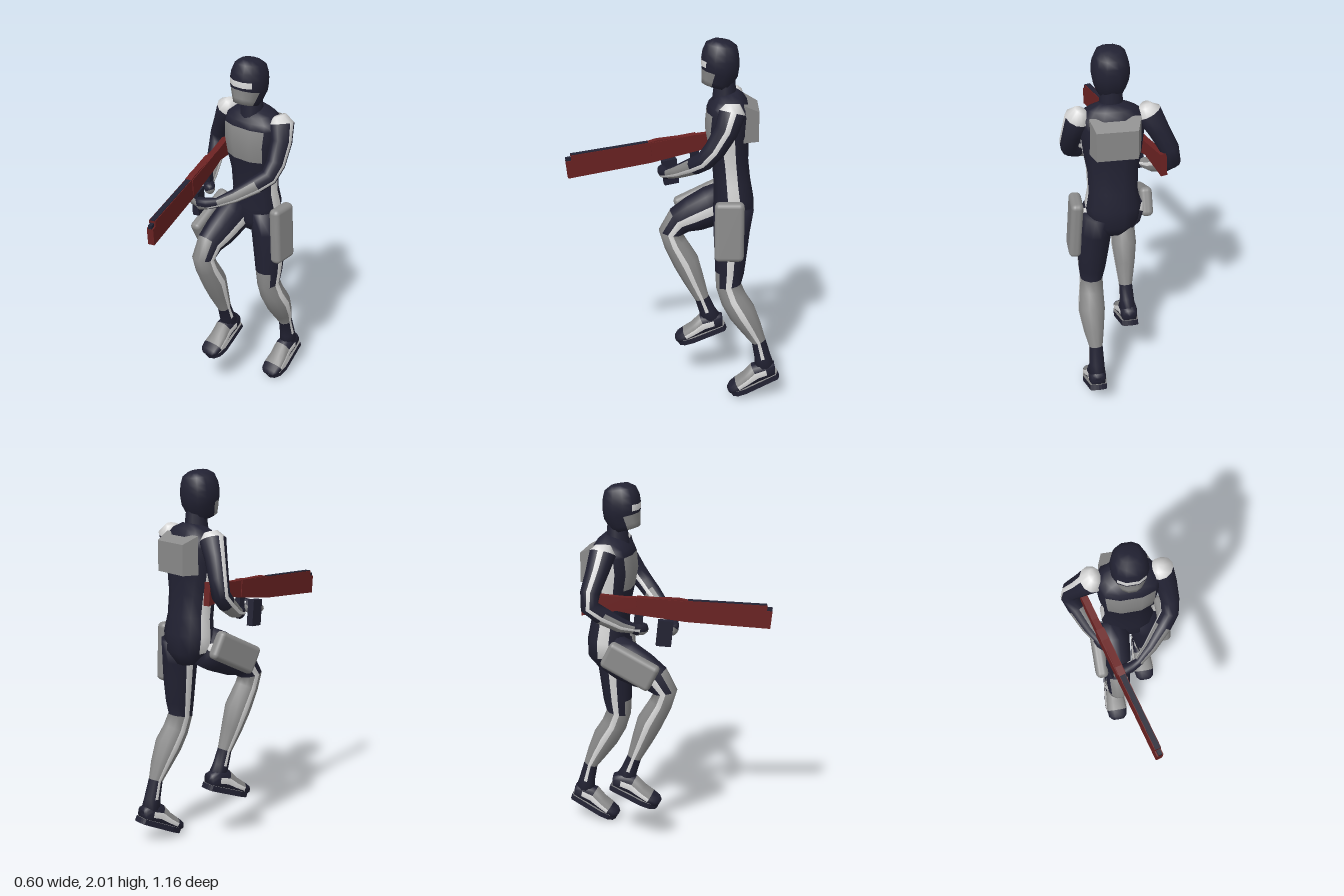
import * as THREE from 'three';
import { RoundedBoxGeometry } from 'three/addons/geometries/RoundedBoxGeometry.js';

const mat = (name, color) => {
  const m = new THREE.MeshStandardMaterial({ color });
  m.name = name;
  return m;
};

// Ring of 12 points; the faces at +u (11) and -u (5) are the narrow side stripes
const ANGLES = [];
for (let h = 0; h < 2; h++)
  for (let k = 0; k < 6; k++) ANGLES.push(h * Math.PI + 0.22 + k * (Math.PI - 0.44) / 5);
const N = ANGLES.length;
const isSide = f => f === 5 || f === 11;
const isFront = f => f >= 0 && f <= 4;

// Skin rings [x, y, z, halfWidth, halfDepth] along their path;
// paint(row, face) picks the material index; power < 1 gives boxier rings
function loft(rings, paint, power = 1) {
  const pos = [], byMat = [[], [], [], []];
  const c = rings.map(r => new THREE.Vector3(r[0], r[1], r[2]));
  const bend = v => Math.sign(v) * Math.abs(v) ** power;
  rings.forEach((r, i) => {
    const t = c[Math.min(i + 1, c.length - 1)].clone().sub(c[Math.max(i - 1, 0)]).normalize();
    const u = new THREE.Vector3(1, 0, 0);
    u.addScaledVector(t, -u.dot(t)).normalize();
    const v = new THREE.Vector3().crossVectors(t, u);
    for (const a of ANGLES) {
      const p = c[i].clone().addScaledVector(u, r[3] * bend(Math.cos(a)))
        .addScaledVector(v, r[4] * bend(Math.sin(a)));
      pos.push(p.x, p.y, p.z);
    }
  });
  const last = rings.length - 1, top = pos.length / 3;
  for (const p of [c[0], c[last]]) pos.push(p.x, p.y, p.z);
  for (let f = 0; f < N; f++) {
    const g = (f + 1) % N;
    for (let i = 0; i < last; i++) {
      const a = i * N + f, b = i * N + g;
      byMat[paint(i, f)].push(a, b, a + N, b, b + N, a + N);
    }
    byMat[paint(0, f)].push(top, g, f);
    byMat[paint(last - 1, f)].push(top + 1, last * N + f, last * N + g);
  }
  const geo = new THREE.BufferGeometry();
  geo.setAttribute('position', new THREE.Float32BufferAttribute(pos, 3));
  geo.setIndex(byMat.flat());
  let start = 0;
  byMat.forEach((list, m) => {
    if (list.length) geo.addGroup(start, list.length, m);
    start += list.length;
  });
  geo.computeVertexNormals();
  return geo;
}

export function createModel() {
  const model = new THREE.Group();
  const navy = mat('navy', 0x222233), grey = mat('grey', 0x8a8a8a);
  const white = mat('white', 0xdcdcdc), red = mat('red', 0x6b2222);
  const suit = [navy, grey, white, red];
  const NAVY = 0, GREY = 1, WHITE = 2;
  const add = (parent, name, geo, m, x = 0, y = 0, z = 0) => {
    const mesh = new THREE.Mesh(geo, m);
    mesh.name = name;
    mesh.position.set(x, y, z);
    parent.add(mesh);
    return mesh;
  };

  // Head with visor slit and grey jaw mask
  add(model, 'head', loft([
    [0.045, 2.0, -0.24, 0.05, 0.05], [0.045, 1.98, -0.237, 0.076, 0.082],
    [0.045, 1.94, -0.232, 0.09, 0.096], [0.045, 1.905, -0.23, 0.095, 0.1],
    [0.045, 1.872, -0.23, 0.095, 0.1], [0.045, 1.84, -0.228, 0.09, 0.097],
    [0.045, 1.79, -0.212, 0.072, 0.083], [0.045, 1.765, -0.205, 0.06, 0.075],
  ], (i, f) => i === 3 && f > 0 && f < 4 ? WHITE : i >= 5 && isFront(f) ? GREY : NAVY, 0.85), suit);
  add(model, 'neck', new THREE.CylinderGeometry(0.053, 0.066, 0.12, 12), navy, 0.045, 1.74, -0.255);

  // Torso with chest panel and side stripes
  add(model, 'torso', loft([
    [0.045, 1.73, -0.27, 0.06, 0.055], [0.045, 1.705, -0.275, 0.12, 0.08],
    [0.045, 1.67, -0.278, 0.16, 0.105], [0.045, 1.63, -0.275, 0.167, 0.115],
    [0.045, 1.55, -0.27, 0.16, 0.118], [0.045, 1.46, -0.278, 0.15, 0.108],
    [0.045, 1.37, -0.288, 0.133, 0.098], [0.045, 1.25, -0.3, 0.128, 0.1],
    [0.045, 1.16, -0.31, 0.145, 0.108], [0.045, 1.07, -0.31, 0.13, 0.11],
    [0.045, 1.0, -0.305, 0.06, 0.07],
  ], (i, f) => (i === 3 || i === 4) && f > 0 && f < 4 ? GREY
    : i >= 2 && i < 9 && isSide(f) ? WHITE : NAVY, 0.8), suit);

  // Back pack, narrower on its rear face
  const pack = new THREE.BoxGeometry(0.26, 0.2, 0.08);
  const pp = pack.attributes.position;
  for (let i = 0; i < pp.count; i++)
    if (pp.getZ(i) < 0) pp.setXY(i, pp.getX(i) * 0.8, pp.getY(i) > 0 ? 0.06 : -0.1);
  pack.computeVertexNormals();
  add(model, 'backPack', pack, grey, 0.038, 1.59, -0.392);

  // Arms: white shoulder cap, striped sleeve, grey forearm, dark glove
  const armPaint = (i, f) => i === 0 ? WHITE : i > 7 ? (f > 5 ? GREY : NAVY)
    : isSide(f) ? WHITE : i >= 5 && i < 7 && !(f > 1 && f < 4) ? GREY : NAVY;
  add(model, 'leftArm', loft([
    [0.2, 1.71, -0.29, 0.03, 0.04], [0.215, 1.67, -0.29, 0.066, 0.07],
    [0.238, 1.58, -0.26, 0.056, 0.062], [0.25, 1.48, -0.2, 0.05, 0.056],
    [0.243, 1.42, -0.15, 0.047, 0.05], [0.2, 1.38, -0.1, 0.045, 0.048],
    [0.12, 1.32, -0.02, 0.035, 0.038], [0.05, 1.28, 0.035, 0.024, 0.028],
    [0.0, 1.265, 0.055, 0.03, 0.036], [-0.05, 1.255, 0.065, 0.03, 0.042],
    [-0.09, 1.26, 0.065, 0.02, 0.03],
  ], armPaint), suit);
  add(model, 'rightArm', loft([
    [-0.12, 1.71, -0.29, 0.03, 0.04], [-0.135, 1.67, -0.29, 0.068, 0.07],
    [-0.185, 1.58, -0.31, 0.056, 0.06], [-0.238, 1.48, -0.335, 0.05, 0.052],
    [-0.252, 1.41, -0.335, 0.047, 0.05], [-0.225, 1.36, -0.28, 0.045, 0.048],
    [-0.18, 1.3, -0.19, 0.036, 0.04], [-0.145, 1.275, -0.13, 0.025, 0.028],
    [-0.13, 1.27, -0.11, 0.032, 0.036], [-0.105, 1.265, -0.085, 0.03, 0.034],
    [-0.09, 1.265, -0.07, 0.02, 0.025],
  ], armPaint), suit);

  // Legs: striped thigh, grey knee and shin, dark ankle
  const legPaint = knee => (i, f) => isSide(f) && i < 9 ? WHITE
    : i >= 8 ? NAVY : i >= knee + 1 || (i === knee && f > 0 && f < 4) ? GREY : NAVY;
  add(model, 'leftLeg', loft([
    [0.125, 1.12, -0.31, 0.085, 0.11], [0.14, 1.0, -0.3, 0.09, 0.1],
    [0.15, 0.88, -0.297, 0.085, 0.09], [0.155, 0.76, -0.293, 0.073, 0.08],
    [0.158, 0.68, -0.288, 0.061, 0.07], [0.163, 0.6, -0.317, 0.066, 0.073],
    [0.168, 0.52, -0.365, 0.072, 0.076], [0.165, 0.42, -0.42, 0.055, 0.058],
    [0.16, 0.34, -0.46, 0.037, 0.04], [0.16, 0.24, -0.485, 0.042, 0.046],
    [0.16, 0.16, -0.5, 0.046, 0.06],
  ], legPaint(3)), suit);
  add(model, 'rightLeg', loft([
    [-0.035, 1.1, -0.28, 0.085, 0.11], [-0.045, 1.06, -0.2, 0.085, 0.115],
    [-0.05, 1.01, -0.1, 0.08, 0.102], [-0.055, 0.97, -0.025, 0.068, 0.083],
    [-0.057, 0.9, 0.025, 0.062, 0.068], [-0.057, 0.83, 0.0, 0.063, 0.065],
    [-0.055, 0.72, -0.06, 0.069, 0.073], [-0.055, 0.62, -0.1, 0.056, 0.06],
    [-0.052, 0.5, -0.15, 0.037, 0.04], [-0.055, 0.42, -0.18, 0.04, 0.046],
    [-0.057, 0.345, -0.213, 0.044, 0.06],
  ], legPaint(3)), suit);

  // Boots: origin under the heel, toe along +z, pitched down
  const footprint = new THREE.Shape();
  footprint.moveTo(-0.045, 0.01);
  footprint.quadraticCurveTo(0, -0.012, 0.045, 0.01);
  footprint.lineTo(0.065, 0.2);
  footprint.bezierCurveTo(0.07, 0.32, -0.07, 0.32, -0.065, 0.2);
  footprint.closePath();
  const soleGeo = new THREE.ExtrudeGeometry(footprint, { depth: 0.03, bevelEnabled: false, curveSegments: 6 });
  soleGeo.rotateX(Math.PI / 2).translate(0, 0.03, 0);
  const bootGeo = loft([
    [0, 0.05, 0.005, 0.038, 0.04], [0, 0.065, 0.05, 0.048, 0.055],
    [0, 0.07, 0.11, 0.05, 0.058], [0, 0.055, 0.17, 0.055, 0.042],
    [0, 0.045, 0.23, 0.06, 0.035], [0, 0.04, 0.27, 0.054, 0.028], [0, 0.035, 0.29, 0.035, 0.018],
  ], (i, f) => i === 0 || i >= 4 ? NAVY : isSide(f) ? WHITE : i >= 2 && isFront(f) ? GREY : NAVY, 0.8);
  for (const [name, x, y, z, pitch] of [
    ['leftBoot', 0.16, 0.125, -0.58, 0.443], ['rightBoot', -0.06, 0.31, -0.29, 0.37]]) {
    const boot = new THREE.Group();
    boot.name = name;
    boot.position.set(x, y, z);
    boot.rotation.x = pitch;
    add(boot, 'sole', soleGeo, [grey, navy]);
    add(boot, 'bootUpper', bootGeo, suit);
    model.add(boot);
  }

  // Thigh pouches
  const pouchGeo = new RoundedBoxGeometry(0.065, 0.325, 0.155, 3, 0.026);
  add(model, 'leftPouch', pouchGeo, grey, 0.24, 1.025, -0.285).rotation.z = 0.06;
  const rightPouch = add(model, 'rightPouch', pouchGeo, grey, -0.14, 1.06, -0.15);
  rightPouch.rotation.x = -1.1;
  rightPouch.scale.y = 0.92;

  // Rifle: origin at the muzzle, stock along -z
  const rifle = new THREE.Group();
  rifle.name = 'rifle';
  rifle.position.set(0.06, 1.325, 0.575);
  rifle.rotation.set(0.103, 0.267, 0, 'YXZ');
  const slab = (points, width) => {
    const g = new THREE.ExtrudeGeometry(new THREE.Shape(points.map(p => new THREE.Vector2(...p))),
      { depth: width, bevelEnabled: false });
    return g.translate(0, 0, -width / 2).rotateY(-Math.PI / 2);
  };
  add(rifle, 'rifleBody', slab([
    [0, -0.065], [0, 0.03], [-0.03, 0.03], [-0.03, 0.06], [-0.45, 0.05], [-0.5, 0.056], [-0.78, 0.04],
    [-1.0, 0.045], [-1.0, -0.075], [-0.82, -0.035], [-0.75, -0.045], [-0.45, -0.065],
  ], 0.035), red);
  add(rifle, 'receiver', new THREE.BoxGeometry(0.044, 0.09, 0.26), red, 0, 0.002, -0.59);
  add(rifle, 'barrelTop', slab([[-0.03, 0.058], [-0.03, 0.063], [-0.45, 0.053], [-0.45, 0.048]], 0.028), navy);
  add(rifle, 'frontSight', new THREE.BoxGeometry(0.02, 0.02, 0.028), navy, 0, 0.038, -0.014);
  add(rifle, 'foreGrip', new THREE.BoxGeometry(0.036, 0.14, 0.08), navy, 0, -0.14, -0.555);
  add(rifle, 'pistolGrip', new THREE.BoxGeometry(0.03, 0.11, 0.045), navy, 0, -0.085, -0.7);
  model.add(rifle);

  return model;
}
